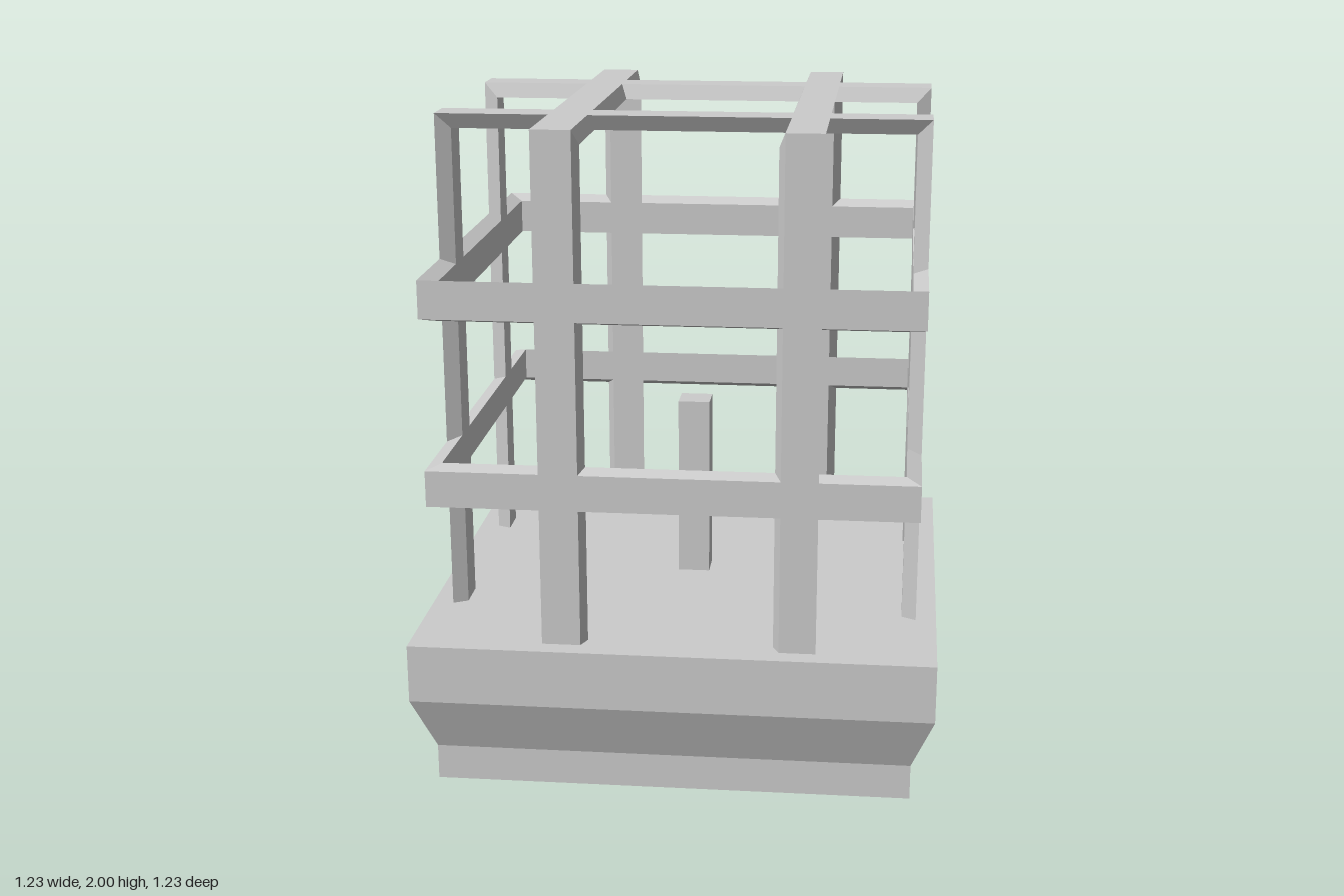
import * as THREE from 'three';

const material = new THREE.MeshStandardMaterial({ color: 0xcccccc, flatShading: true });

const FLOOR = 0.8, TOP = 2, R = 0.568;          // cage limits
const CENTRE = [0, 1.4, 0], SHRINK = 0.94;      // inner cage surface = outer one scaled about its centre

// Flat slat on one side of the cage; its inner face is shrunk towards the cage centre,
// which gives the tapered edges and mitred corners.
function slat(name, axis, outer, min, max) {
  const dir = Math.sign(outer - CENTRE[axis]);
  const size = max.map((m, i) => (i === axis ? 0.04 : m - min[i]));
  const geo = new THREE.BoxGeometry(...size);
  const pos = geo.attributes.position;
  for (let i = 0; i < pos.count; i++) {
    const local = [pos.getX(i), pos.getY(i), pos.getZ(i)];
    const inner = local[axis] * dir < 0;
    const p = local.map((v, k) => (k === axis ? outer : v > 0 ? max[k] : min[k]));
    const q = p.map((v, k) =>
      inner && !(k === 1 && v === FLOOR) ? CENTRE[k] + (v - CENTRE[k]) * SHRINK : v);
    pos.setXYZ(i, ...q);
  }
  geo.computeVertexNormals();
  const mesh = new THREE.Mesh(geo, material);
  mesh.name = name;
  return mesh;
}

// Bracket base: stacked rings of six points, flat at the back, with a wedge running down the wall
function createBase() {
  const back = -0.617;
  const ring = (w, front, y, yBack = y) => [
    [-w, y, front], [w, y, front], [w, y, 0], [w, yBack, back], [-w, yBack, back], [-w, y, 0],
  ];
  const rings = [
    ring(0.565, 0.565, 0.44, 0),
    ring(0.565, 0.565, 0.525),
    ring(0.617, 0.617, 0.66),
    ring(0.617, 0.617, FLOOR),
  ];
  const verts = [];
  const quad = (a, b, c, d) => verts.push(...a, ...b, ...c, ...a, ...c, ...d);
  for (let r = 0; r < rings.length - 1; r++) {
    const lo = rings[r], up = rings[r + 1];
    for (let i = 0; i < 6; i++) {
      const j = (i + 1) % 6;
      quad(lo[i], lo[j], up[j], up[i]);
    }
  }
  const b = rings[0], t = rings[rings.length - 1];
  quad(b[0], b[5], b[2], b[1]);   // flat underside
  quad(b[5], b[4], b[3], b[2]);   // sloping underside
  quad(t[0], t[1], t[2], t[5]);   // top
  quad(t[5], t[2], t[3], t[4]);
  const geo = new THREE.BufferGeometry();
  geo.setAttribute('position', new THREE.Float32BufferAttribute(verts, 3));
  geo.computeVertexNormals();
  const mesh = new THREE.Mesh(geo, material);
  mesh.name = 'bracketBase';
  return mesh;
}

export function createModel() {
  const group = new THREE.Group();
  group.name = 'cageLantern';
  group.add(createBase());

  const cage = new THREE.Group();
  cage.name = 'cage';
  const xSlats = [[-0.305, -0.214], [0.251, 0.337]];
  const zSlats = [[-0.342, -0.253], [0.242, 0.331]];
  const bands = [[1.13, 1.216], [1.573, 1.662]];

  // Hoops over the top: two running front to back, two running side to side
  for (const [a, b] of xSlats) {
    cage.add(slat('topSlat', 1, TOP, [a, 0, -R], [b, 0, R]));
    for (const s of [-1, 1]) cage.add(slat('uprightSlat', 2, s * R, [a, FLOOR, 0], [b, TOP, 0]));
  }
  for (const [a, b] of zSlats) {
    cage.add(slat('topSlat', 1, TOP, [-R, 0, a], [R, 0, b]));
    for (const s of [-1, 1]) cage.add(slat('uprightSlat', 0, s * R, [0, FLOOR, a], [0, TOP, b]));
  }
  // Horizontal bands around the four sides
  for (const [a, b] of bands) {
    for (const s of [-1, 1]) {
      cage.add(slat('band', 2, s * R, [-R, a, 0], [R, b, 0]));
      cage.add(slat('band', 0, s * R, [0, a, -R], [0, b, R]));
    }
  }
  group.add(cage);

  // Square post in the middle
  const post = new THREE.Mesh(new THREE.BoxGeometry(0.078, 0.45, 0.078), material);
  post.name = 'centrePost';
  post.position.set(0, FLOOR + 0.225, 0);
  group.add(post);

  return group;
}
